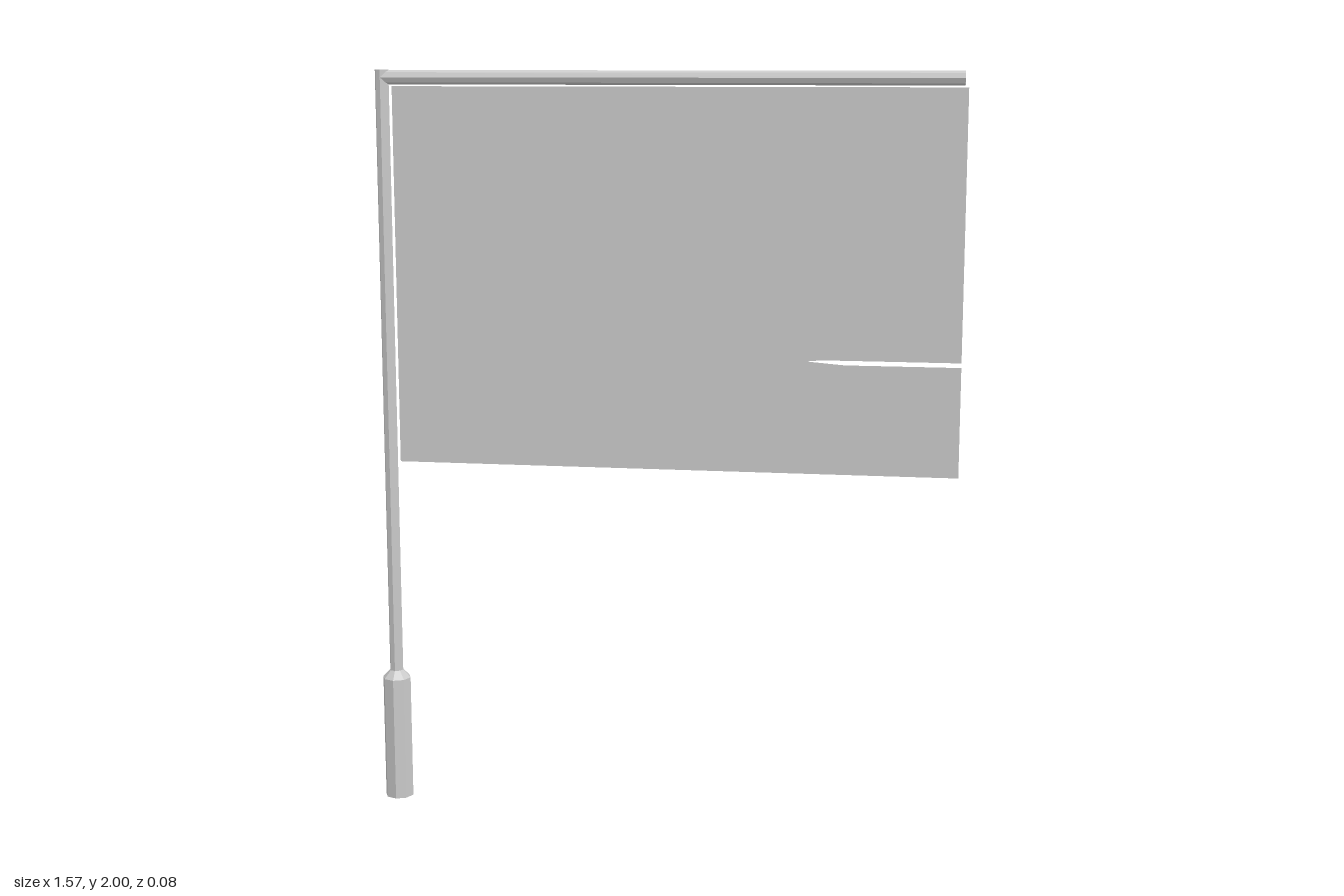
import * as THREE from 'three';

const SIDES = 8;
const POLE_X = -0.746;
const ROD_R = 0.0185;

export function createModel() {
  const group = new THREE.Group();
  const metal = new THREE.MeshStandardMaterial({ color: 0xcccccc, flatShading: true });
  const cloth = new THREE.MeshStandardMaterial({ color: 0xcccccc, side: THREE.DoubleSide });

  const add = (name, geometry, material, x = 0, y = 0) => {
    const mesh = new THREE.Mesh(geometry, material);
    mesh.name = name;
    mesh.position.set(x, y, 0);
    group.add(mesh);
    return mesh;
  };

  // Thick handle with a tapered shoulder
  const profile = [[0, 0], [0.039, 0], [0.039, 0.342], [ROD_R, 0.364]]
    .map(([r, y]) => new THREE.Vector2(r, y));
  add('handle', new THREE.LatheGeometry(profile, SIDES), metal, POLE_X);

  // Upright pole
  add('pole', new THREE.CylinderGeometry(ROD_R, ROD_R, 1.64, SIDES), metal, POLE_X, 1.18);

  // Horizontal top bar
  const barLength = 0.772 - POLE_X;
  const bar = add('topBar', new THREE.CylinderGeometry(ROD_R, ROD_R, barLength, SIDES),
    metal, POLE_X + barLength / 2, 1.98);
  bar.rotation.z = -Math.PI / 2;

  // Flat banner with a narrow tear in its free edge
  const outline = [
    [-0.72, 0.953], [0.781, 0.953], [0.781, 1.244], [0.48, 1.244],
    [0.38, 1.252], [0.42, 1.256], [0.781, 1.256], [0.781, 1.957], [-0.72, 1.957],
  ].map(([x, y]) => new THREE.Vector2(x, y));
  add('banner', new THREE.ShapeGeometry(new THREE.Shape(outline)), cloth);

  return group;
}
